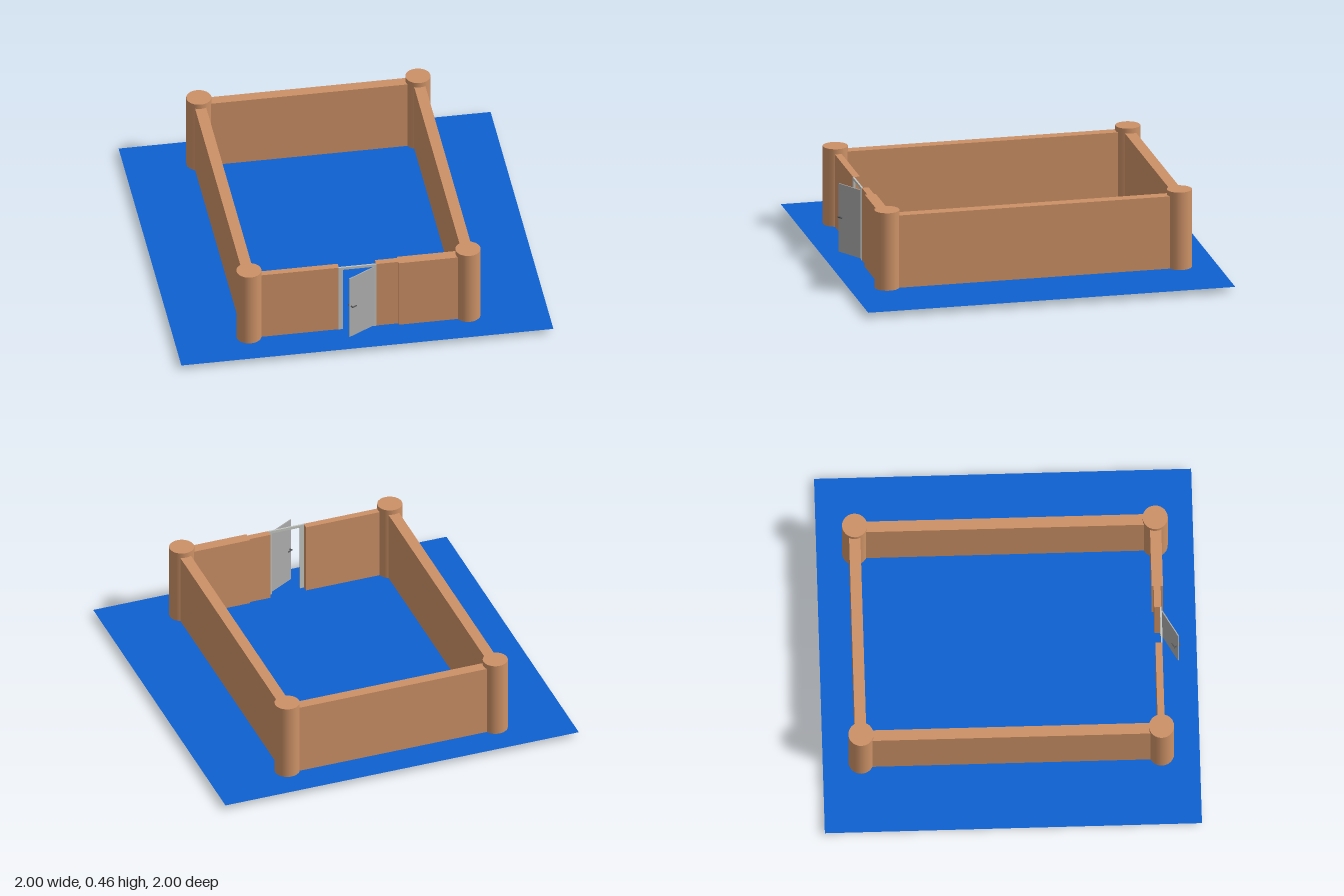
import * as THREE from 'three';

const material = (name, color, side = THREE.FrontSide) => {
  const m = new THREE.MeshStandardMaterial({ color, side });
  m.name = name;
  return m;
};

export function createModel() {
  const model = new THREE.Group();
  model.name = 'walledYard';
  const clay = material('clay', 0xcc9166);
  const blue = material('groundBlue', 0x0d60d0, THREE.DoubleSide);
  const frameGrey = material('frameGrey', 0xc4c6c2);
  const doorGrey = material('doorGrey', 0xacacac);
  const handleGrey = material('handleGrey', 0x55585a);

  const add = (parent, name, geometry, mat, x, y, z) => {
    const mesh = new THREE.Mesh(geometry, mat);
    mesh.name = name;
    mesh.position.set(x, y, z);
    parent.add(mesh);
    return mesh;
  };
  // Box given by its limits on each axis
  const block = (name, mat, [x0, x1], [y0, y1], [z0, z1]) =>
    add(model, name, new THREE.BoxGeometry(x1 - x0, y1 - y0, z1 - z0), mat,
      (x0 + x1) / 2, (y0 + y1) / 2, (z0 + z1) / 2);

  // Flat ground sheet
  add(model, 'ground', new THREE.PlaneGeometry(2, 2).rotateX(-Math.PI / 2), blue, 0, 0.03, 0);

  // Corner towers
  const left = 0.575, right = -0.603, depth = 0.797;
  const towerGeometry = new THREE.CylinderGeometry(0.067, 0.067, 0.46, 24);
  for (const x of [left, right])
    for (const z of [depth, -depth]) add(model, 'cornerTower', towerGeometry, clay, x, 0.23, z);

  // Side and back walls
  const wallY = [0.031, 0.432];
  for (const x of [left, right])
    block('sideWall', clay, [x - 0.03, x + 0.03], wallY, [-depth, depth]);
  block('backWall', clay, [right, left], wallY, [-0.828, -0.768]);

  // Front wall pieces either side of the doorway
  block('frontWallRight', clay, [right, -0.122], wallY, [0.778, 0.815]);
  block('frontWallMiddle', clay, [0.078, 0.2], wallY, [0.778, 0.815]);
  block('frontWallLeft', clay, [0.198, left], wallY, [0.768, 0.828]);

  // Door frame
  const frameZ = [0.808, 0.817];
  block('frameRightPost', frameGrey, [-0.124, -0.1], wallY, frameZ);
  block('frameLeftPost', frameGrey, [0.06, 0.08], wallY, frameZ);
  block('frameLintel', frameGrey, [-0.1, 0.06], [0.417, 0.432], frameZ);

  // Open door, swung outwards on its left edge
  const door = new THREE.Group();
  door.name = 'door';
  door.position.set(0.064, 0, 0.818);
  door.rotation.y = Math.PI / 6;
  model.add(door);
  add(door, 'doorPanel', new THREE.BoxGeometry(0.168, 0.378, 0.006), doorGrey, -0.084, 0.227, 0);

  // Handle on both faces: short spindle with a lever
  for (const s of [1, -1]) {
    add(door, 'handleSpindle', new THREE.CylinderGeometry(0.004, 0.004, 0.014, 10).rotateX(Math.PI / 2),
      handleGrey, -0.156, 0.234, s * 0.009);
    add(door, 'handleLever', new THREE.BoxGeometry(0.032, 0.006, 0.005),
      handleGrey, -0.144, 0.234, s * 0.016);
  }
  return model;
}
